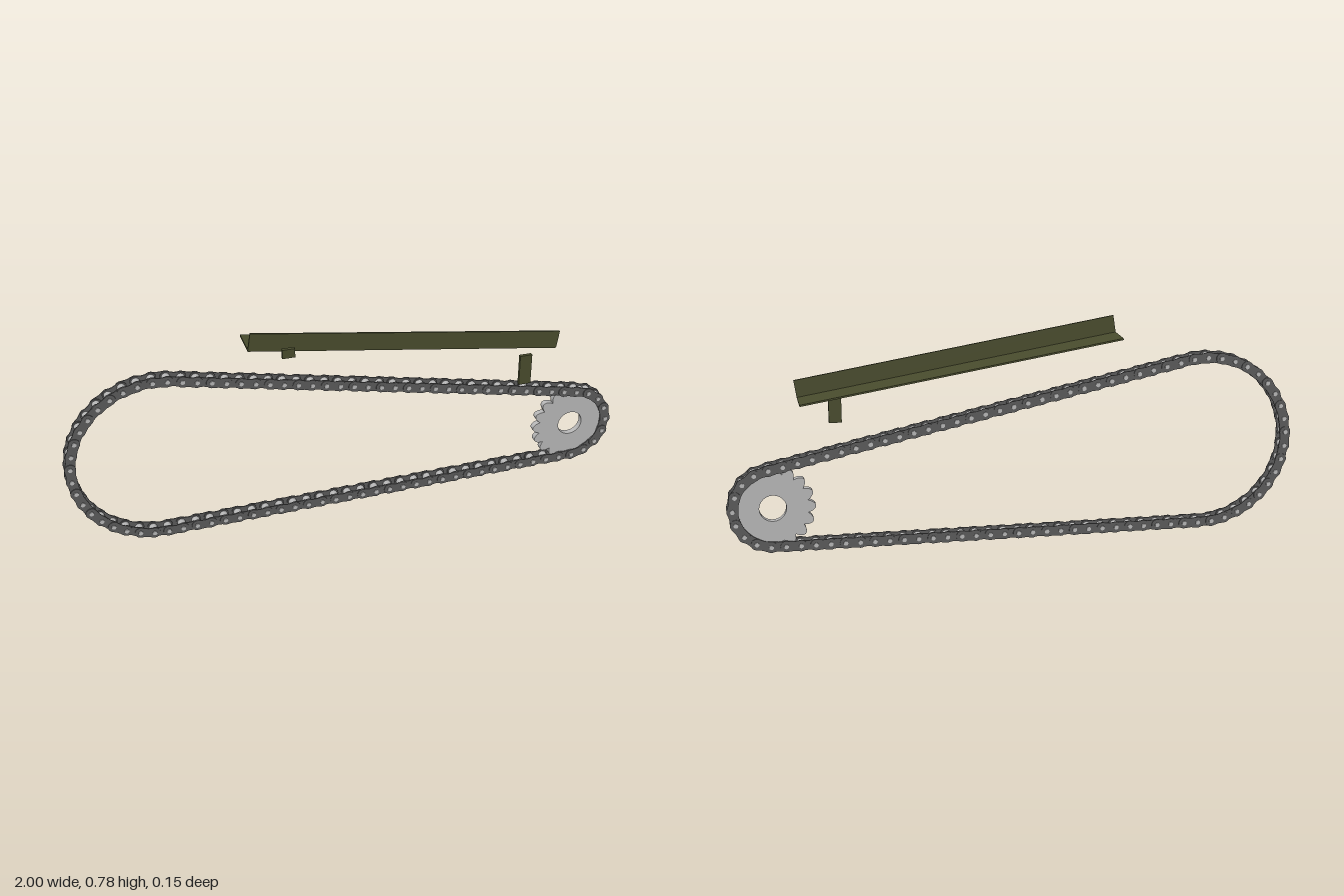
import * as THREE from 'three';
import { mergeGeometries } from 'three/addons/utils/BufferGeometryUtils.js';

const steel = new THREE.MeshStandardMaterial({ color: 0xbababa });
steel.name = 'light steel';
const dark = new THREE.MeshStandardMaterial({ color: 0x5c5c5c });
dark.name = 'dark steel';
const olive = new THREE.MeshStandardMaterial({ color: 0x4a4d2e });
olive.name = 'olive paint';

const LINKS = 88, TEETH = 17, CHAIN_Z = -0.0225;
const BIG = { x: -0.677, y: 0.3235, r: 0.3035 };
const SMALL = { x: 0.844, y: 0.18, r: 0.136 };

// Pin positions evenly spaced around the two tangent-joined arcs
function chainPoints() {
  const dx = SMALL.x - BIG.x, dy = SMALL.y - BIG.y;
  const phi = Math.atan2(dy, dx);
  const spread = Math.acos((BIG.r - SMALL.r) / Math.hypot(dx, dy));
  const top = phi + spread, bottom = phi - spread;
  const path = new THREE.Path();
  path.absarc(SMALL.x, SMALL.y, SMALL.r, 0, top, false);
  path.absarc(BIG.x, BIG.y, BIG.r, top, bottom + 2 * Math.PI, false);
  path.absarc(SMALL.x, SMALL.y, SMALL.r, bottom, 0, false);
  return path.getSpacedPoints(LINKS);
}

// Waisted side plate, centred between its two pins
function plateGeometry(pitch, depth, radius) {
  const h = pitch / 2, waist = radius * 0.85;
  const s = new THREE.Shape();
  s.absarc(h, 0, radius, -Math.PI / 2, Math.PI / 2, false);
  s.lineTo(0, waist);
  s.absarc(-h, 0, radius, Math.PI / 2, Math.PI * 1.5, false);
  s.lineTo(0, -waist);
  s.closePath();
  const g = new THREE.ExtrudeGeometry(s, { depth, bevelEnabled: false, curveSegments: 8 });
  return g.translate(0, 0, -depth / 2);
}

function createChain() {
  const chain = new THREE.Group();
  chain.name = 'rollerChain';
  const pts = chainPoints();
  const pitch = pts[0].distanceTo(pts[1]);
  const outer = plateGeometry(pitch, 0.003, 0.02);
  const inner = plateGeometry(pitch, 0.004, 0.0195);
  const pin = new THREE.CylinderGeometry(0.008, 0.008, 0.051, 12).rotateX(Math.PI / 2);
  const roller = new THREE.CylinderGeometry(0.0145, 0.0145, 0.028, 16).rotateX(Math.PI / 2);
  const parts = { outerPlates: [], innerPlates: [], pins: [], rollers: [] };

  for (let i = 0; i < LINKS; i++) {
    const a = pts[i], b = pts[i + 1];
    const angle = Math.atan2(b.y - a.y, b.x - a.x);
    const isOuter = i % 2 === 0;
    for (const side of [-1, 1]) {
      const z = side * (isOuter ? 0.0203 : 0.0162);
      const g = (isOuter ? outer : inner).clone().rotateZ(angle);
      g.translate((a.x + b.x) / 2, (a.y + b.y) / 2, z);
      parts[isOuter ? 'outerPlates' : 'innerPlates'].push(g);
    }
    parts.pins.push(pin.clone().translate(a.x, a.y, 0));
    parts.rollers.push(roller.clone().translate(a.x, a.y, 0));
  }
  for (const [name, list] of Object.entries(parts)) {
    const mesh = new THREE.Mesh(mergeGeometries(list), name.endsWith('Plates') ? dark : steel);
    mesh.name = name;
    chain.add(mesh);
  }
  chain.position.z = CHAIN_Z;
  return chain;
}

// Toothed wheel with round lobes, notches aligned with the rollers, and a bore
function createSprocket() {
  const pts = [], n = TEETH * 12;
  for (let i = 0; i < n; i++) {
    const t = (i / n) * Math.PI * 2;
    const r = 0.121 + 0.025 * Math.pow(Math.abs(Math.sin(t * TEETH / 2)), 0.9);
    pts.push(new THREE.Vector2(r * Math.cos(t), r * Math.sin(t)));
  }
  const shape = new THREE.Shape(pts);
  shape.holes.push(new THREE.Path().absarc(0, 0, 0.046, 0, Math.PI * 2, true));
  const geo = new THREE.ExtrudeGeometry(shape, { depth: 0.022, bevelEnabled: false, curveSegments: 32 });
  const mesh = new THREE.Mesh(geo, steel);
  mesh.name = 'sprocket';
  mesh.position.set(SMALL.x, SMALL.y, CHAIN_Z - 0.011);
  return mesh;
}

function box(name, w, h, d, x, y, z) {
  const mesh = new THREE.Mesh(new THREE.BoxGeometry(w, h, d), olive);
  mesh.name = name;
  mesh.position.set(x, y, z);
  return mesh;
}

// Sloping angle-section guard above the chain
function createGuard() {
  const guard = new THREE.Group();
  guard.name = 'chainGuard';
  guard.add(
    box('guardFrontFlange', 1.123, 0.066, 0.006, 0, 0, 0.031),
    box('guardLowerFlange', 1.123, 0.006, 0.101, 0, -0.03, -0.0225)
  );
  guard.position.set(0.194, 0.66, 0);
  guard.rotation.z = -0.154;
  return guard;
}

export function createModel() {
  const model = new THREE.Group();
  model.name = 'chainDrive';
  model.add(
    createChain(),
    createSprocket(),
    createGuard(),
    box('longBracket', 0.044, 0.115, 0.012, 0.614, 0.4975, 0.07),
    box('shortBracket', 0.044, 0.033, 0.012, -0.237, 0.707, 0.07)
  );
  return model;
}
